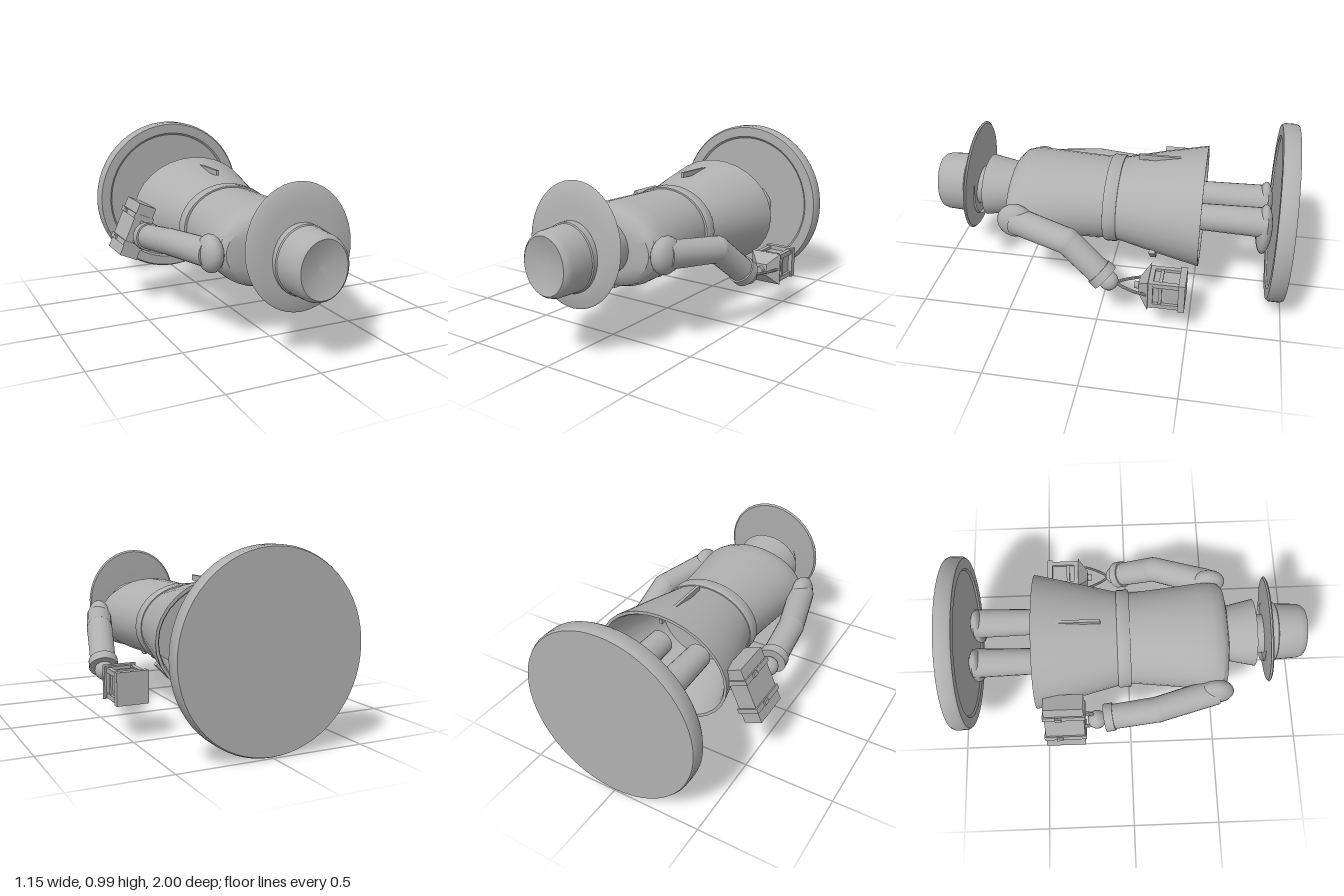
import * as THREE from 'three';
import { toCreasedNormals } from 'three/addons/utils/BufferGeometryUtils.js';

const grey = new THREE.MeshStandardMaterial({ color: 0xb0b0b0, side: THREE.DoubleSide });
grey.name = 'plain grey';

const V = (x, y, z) => new THREE.Vector3(x, y, z);

// Adds a named mesh with creased normals
function add(parent, name, geometry, x = 0, y = 0, z = 0) {
  const mesh = new THREE.Mesh(toCreasedNormals(geometry, 0.6), grey);
  mesh.name = name;
  mesh.position.set(x, y, z);
  parent.add(mesh);
  return mesh;
}

// Elliptical lathe: rows of [half width, height, half depth]
function oval(rows, segments = 36) {
  const pts = rows.map(r => new THREE.Vector2(r[0], r[1]));
  const g = new THREE.LatheGeometry(pts, segments);
  const p = g.attributes.position;
  for (let i = 0; i < p.count; i++) {
    const [w, , d] = rows[i % rows.length];
    if (w > 0) p.setZ(i, p.getZ(i) * d / w);
  }
  g.computeVertexNormals();
  return g;
}

// Tapered rod from a to b
function rod(parent, name, a, b, ra, rb = ra, sides = 20) {
  const dir = b.clone().sub(a);
  const mid = a.clone().add(b).multiplyScalar(0.5);
  const m = add(parent, name, new THREE.CylinderGeometry(rb, ra, dir.length(), sides), mid.x, mid.y, mid.z);
  m.quaternion.setFromUnitVectors(V(0, 1, 0), dir.normalize());
  return m;
}

const ball = r => new THREE.SphereGeometry(r, 20, 14);
const box = (w, h, d) => new THREE.BoxGeometry(w, h, d);

function buildArm(parent, side, shoulder, elbow, wrist, hand) {
  const arm = new THREE.Group();
  arm.name = side + 'Arm';
  add(arm, 'shoulder', ball(0.1), shoulder.x, shoulder.y, shoulder.z).scale.set(0.62, 1, 1);
  rod(arm, 'upperSleeve', shoulder, elbow, 0.075, 0.072);
  add(arm, 'elbow', ball(0.073), elbow.x, elbow.y, elbow.z);
  rod(arm, 'lowerSleeve', elbow, wrist, 0.072, 0.07);
  const d = wrist.clone().sub(elbow).normalize().multiplyScalar(0.025);
  rod(arm, 'cuff', wrist.clone().sub(d), wrist.clone().add(d), 0.079, 0.079, 24);
  add(arm, 'hand', ball(0.052), hand.x, hand.y, hand.z);
  parent.add(arm);
}

// Lantern with pyramid roof, posts, glass and wire bail
function buildLantern(parent) {
  const lantern = new THREE.Group();
  lantern.name = 'lantern';
  lantern.position.set(0.492, -0.38, 0.225);
  add(lantern, 'lanternBase', box(0.17, 0.035, 0.17), 0, -0.083, 0);
  add(lantern, 'glass', box(0.125, 0.17, 0.125));
  add(lantern, 'topPlate', box(0.16, 0.025, 0.16), 0, 0.08, 0);
  for (const x of [-1, 1]) for (const z of [-1, 1])
    add(lantern, 'cornerPost', box(0.025, 0.17, 0.025), x * 0.066, 0, z * 0.066);
  for (const s of [-1, 1]) {
    add(lantern, 'windowBar', box(0.14, 0.018, 0.014), 0, 0.03, s * 0.066);
    add(lantern, 'windowBar', box(0.014, 0.018, 0.14), s * 0.066, 0.03, 0);
  }
  const roof = new THREE.CylinderGeometry(0.045, 0.127, 0.055, 4);
  roof.rotateY(Math.PI / 4);
  add(lantern, 'lanternRoof', roof, 0, 0.12, 0);
  add(lantern, 'roofKnob', new THREE.CylinderGeometry(0.02, 0.02, 0.03, 12), 0, 0.158, 0);
  const bail = new THREE.CatmullRomCurve3([V(-0.075, 0.1, 0), V(-0.06, 0.17, 0), V(0, 0.265, 0), V(0.06, 0.17, 0), V(0.075, 0.1, 0)]);
  add(lantern, 'bail', new THREE.TubeGeometry(bail, 24, 0.008, 8));
  parent.add(lantern);
}

// Suitcase with straps, clasps and handle
function buildCase(parent) {
  const bag = new THREE.Group();
  bag.name = 'suitcase';
  bag.position.set(-0.458, -0.37, 0.05);
  bag.rotation.y = -0.42;
  add(bag, 'caseBody', box(0.105, 0.22, 0.32));
  for (const s of [-1, 1]) {
    add(bag, 'strap', box(0.122, 0.236, 0.028), 0, 0, s * 0.085);
    add(bag, 'clasp', box(0.02, 0.035, 0.02), -0.062, -0.03, s * 0.085);
  }
  const grip = new THREE.CatmullRomCurve3([V(0, 0.1, -0.06), V(0, 0.155, -0.045), V(0, 0.165, 0), V(0, 0.155, 0.045), V(0, 0.1, 0.06)]);
  add(bag, 'caseHandle', new THREE.TubeGeometry(grip, 20, 0.011, 8));
  parent.add(bag);
}

export function createModel() {
  const model = new THREE.Group();
  model.name = 'lyingFigurine';
  // Built standing, facing +z, then laid face down with the head to the front
  const figure = new THREE.Group();
  figure.name = 'figure';
  figure.rotation.x = Math.PI / 2;
  figure.position.y = 0.5;
  model.add(figure);

  // Round base with a shallow recess
  add(figure, 'base', new THREE.LatheGeometry([
    [0, -1], [0.488, -1], [0.495, -0.985], [0.495, -0.925], [0.485, -0.91],
    [0.426, -0.91], [0.415, -0.92], [0, -0.92],
  ].map(p => new THREE.Vector2(...p)), 64), 0.004, 0, 0);

  // Legs and feet
  for (const s of [-1, 1]) {
    const x = s * 0.12;
    rod(figure, 'leg', V(x, -0.88, 0), V(x, -0.35, 0), 0.083, 0.07);
    add(figure, 'foot', ball(1), x, -0.865, 0.045).scale.set(0.085, 0.045, 0.155);
  }

  // Hollow coat skirt
  add(figure, 'coatSkirt', oval([
    [0.25, -0.1, 0.21], [0.365, -0.51, 0.29], [0.375, -0.525, 0.3], [0.39, -0.525, 0.318],
    [0.388, -0.51, 0.315], [0.33, -0.28, 0.272], [0.272, -0.05, 0.22],
  ], 32));
  add(figure, 'innerFloor', oval([[0, -0.12, 0], [0.257, -0.12, 0.215]]));

  // Torso with rounded shoulders
  add(figure, 'torso', oval([
    [0.262, -0.06, 0.222], [0.27, 0.06, 0.222], [0.292, 0.25, 0.223], [0.312, 0.4, 0.224],
    [0.315, 0.47, 0.222], [0.308, 0.52, 0.205], [0.28, 0.548, 0.175], [0.2, 0.56, 0.14], [0, 0.56, 0],
  ], 32));

  // Belt and buckle
  add(figure, 'belt', oval([
    [0.26, -0.063, 0.212], [0.28, -0.063, 0.23], [0.285, -0.055, 0.235], [0.285, 0.002, 0.235],
    [0.28, 0.01, 0.23], [0.26, 0.01, 0.212],
  ]));
  add(figure, 'buckle', box(0.1, 0.09, 0.025), 0, -0.025, 0.234);

  // Front placket and two rows of buttons
  add(figure, 'placket', box(0.03, 0.42, 0.02), 0, 0.29, 0.221);
  for (const s of [-1, 1]) for (const h of [0.35, 0.2, 0.07])
    add(figure, 'button', ball(0.022), s * 0.085, h, 0.215).scale.z = 0.8;

  // Front coat edge, back seam and pocket flaps
  add(figure, 'frontSeam', box(0.015, 0.42, 0.02), 0, -0.29, 0.268).rotation.x = -0.2;
  add(figure, 'backSeam', box(0.016, 0.37, 0.03), 0, -0.335, -0.278);
  for (const s of [-1, 1]) {
    const flap = add(figure, 'pocketFlap', box(0.11, 0.035, 0.03), s * 0.235, -0.27, 0.196);
    flap.rotation.y = s * 0.8;
  }

  // Flared open collar and neck
  add(figure, 'collar', oval([
    [0.155, 0.55, 0.145], [0.175, 0.63, 0.155], [0.194, 0.715, 0.17],
    [0.18, 0.715, 0.157], [0.145, 0.6, 0.13],
  ]), 0.004, 0, -0.012);
  add(figure, 'neck', new THREE.CylinderGeometry(0.112, 0.112, 0.24, 24), 0, 0.66, 0);

  // Hat: tilted brim, crown with a dished top
  const hat = new THREE.Group();
  hat.name = 'hat';
  add(hat, 'brim', oval([
    [0, 0.768, 0], [0.2, 0.772, 0.215], [0.285, 0.776, 0.31], [0.295, 0.784, 0.32],
    [0.285, 0.791, 0.31], [0.2, 0.802, 0.215], [0, 0.805, 0],
  ], 48)).rotation.x = -0.085;
  add(hat, 'crown', oval([
    [0.165, 0.765, 0.18], [0.165, 0.83, 0.18], [0.159, 0.835, 0.174], [0.152, 0.96, 0.168],
    [0.144, 0.985, 0.16], [0.128, 0.999, 0.148], [0.113, 0.995, 0.135], [0, 0.955, 0],
  ], 40), 0.004, 0, -0.012);
  figure.add(hat);

  // Arms and what they carry
  buildArm(figure, 'left', V(0.335, 0.48, 0), V(0.44, 0.165, 0.025), V(0.488, -0.03, 0.185), V(0.497, -0.068, 0.215));
  buildArm(figure, 'right', V(-0.335, 0.48, 0), V(-0.425, 0.15, 0.01), V(-0.45, -0.12, 0.045), V(-0.458, -0.19, 0.05));
  buildLantern(figure);
  buildCase(figure);
  return model;
}
